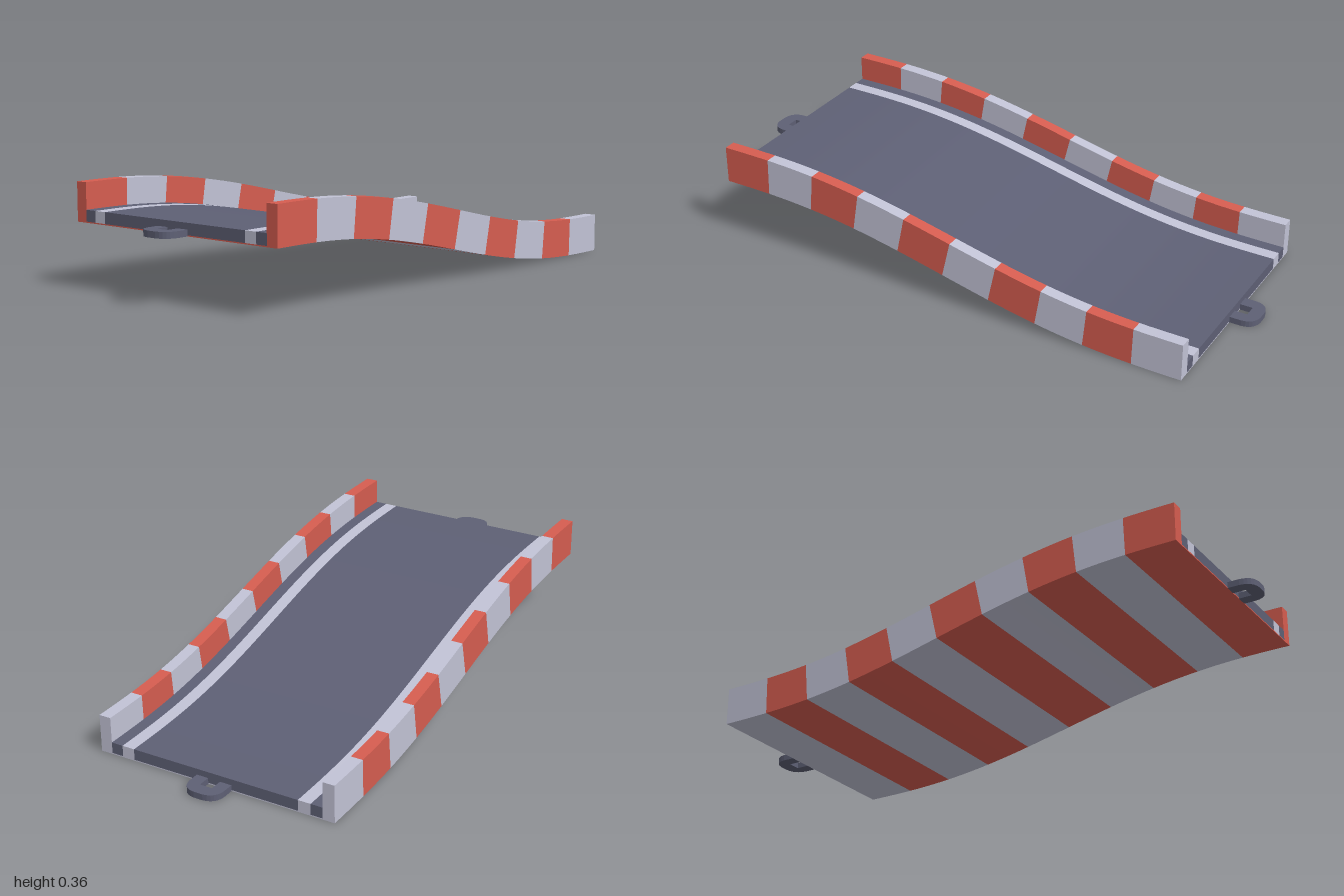
import * as THREE from 'three';

const LENGTH = 1.814, RISE = 0.228, HALF = 0.453, RAIL_IN = 0.409;
const RAIL_H = 0.137, ROAD_H = 0.044, PLATE_H = 0.004, STRIPES = 10;

const road = new THREE.MeshStandardMaterial({ color: 0x5e6075 });
road.name = 'slate grey';
const pale = new THREE.MeshStandardMaterial({ color: 0xc2c3d6 });
pale.name = 'pale grey';
const red = new THREE.MeshStandardMaterial({ color: 0xd65d50 });
red.name = 'kerb red';

// S-shaped ramp: height and slope at t = 0 (back, low) to 1 (front, high)
const height = t => RISE * t * t * t * (t * (6 * t - 15) + 10);
const slope = t => RISE * 30 * t * t * (1 - t) * (1 - t) / LENGTH;

// Rectangular bar from x0 to x1 and h0 to h1 above the ramp line, swept along it
function sweep(name, material, x0, x1, h0, h1, t0 = 0, t1 = 1) {
  const steps = Math.round(60 * (t1 - t0));
  const geo = new THREE.BoxGeometry(x1 - x0, h1 - h0, t1 - t0, 1, 1, steps);
  geo.translate((x0 + x1) / 2, (h0 + h1) / 2, (t0 + t1) / 2);
  const p = geo.attributes.position;
  for (let i = 0; i < p.count; i++) {
    const h = p.getY(i), t = p.getZ(i), s = slope(t), n = Math.hypot(s, 1);
    p.setY(i, height(t) + h / n);
    p.setZ(i, LENGTH * (t - 0.5) - h * s / n);
  }
  geo.computeVertexNormals();
  const mesh = new THREE.Mesh(geo, material);
  mesh.name = name;
  return mesh;
}

// U-shaped connector loop, flat, pointing to +z from the end of the road
function connector(name) {
  const z0 = LENGTH / 2, w = 0.067, r = 0.05, hole = 0.023;
  const s = new THREE.Shape();
  s.moveTo(hole, z0);
  s.lineTo(w, z0);
  s.lineTo(w, 1 - r);
  s.quadraticCurveTo(w - 0.004, 1 - 0.004, w - r, 1);
  s.lineTo(r - w, 1);
  s.quadraticCurveTo(0.004 - w, 1 - 0.004, -w, 1 - r);
  s.lineTo(-w, z0);
  s.lineTo(-hole, z0);
  s.lineTo(-hole, z0 + 0.046);
  s.lineTo(hole, z0 + 0.046);
  s.closePath();
  const geo = new THREE.ExtrudeGeometry(s, { depth: 0.022, bevelEnabled: false, curveSegments: 6 });
  geo.rotateX(Math.PI / 2).translate(0, 0.022, 0);
  const mesh = new THREE.Mesh(geo, road);
  mesh.name = name;
  return mesh;
}

export function createModel() {
  const model = new THREE.Group();
  model.name = 'rampTrack';

  // Road surface with an inlaid pale line near each edge
  model.add(sweep('roadCentre', road, -0.318, 0.318, PLATE_H, ROAD_H));
  for (const [side, sign] of [['left', 1], ['right', -1]]) {
    const bar = (name, mat, a, b) => model.add(sweep(side + name, mat,
      Math.min(a * sign, b * sign), Math.max(a * sign, b * sign), PLATE_H, ROAD_H));
    bar('LaneLine', pale, 0.318, 0.365);
    bar('RoadEdge', road, 0.365, RAIL_IN);
  }

  // Striped rails and underside, alternating from pale at the back to red at the front
  for (let i = 0; i < STRIPES; i++) {
    const mat = i % 2 ? red : pale, t0 = i / STRIPES, t1 = (i + 1) / STRIPES;
    model.add(
      sweep('leftRail' + i, mat, RAIL_IN, HALF, 0, RAIL_H, t0, t1),
      sweep('rightRail' + i, mat, -HALF, -RAIL_IN, 0, RAIL_H, t0, t1),
      sweep('underside' + i, mat, -RAIL_IN, RAIL_IN, 0, PLATE_H, t0, t1));
  }

  // Connector loops at both ends
  const front = connector('frontConnector');
  front.position.y = RISE;
  const back = connector('backConnector');
  back.rotation.y = Math.PI;
  model.add(front, back);
  return model;
}
